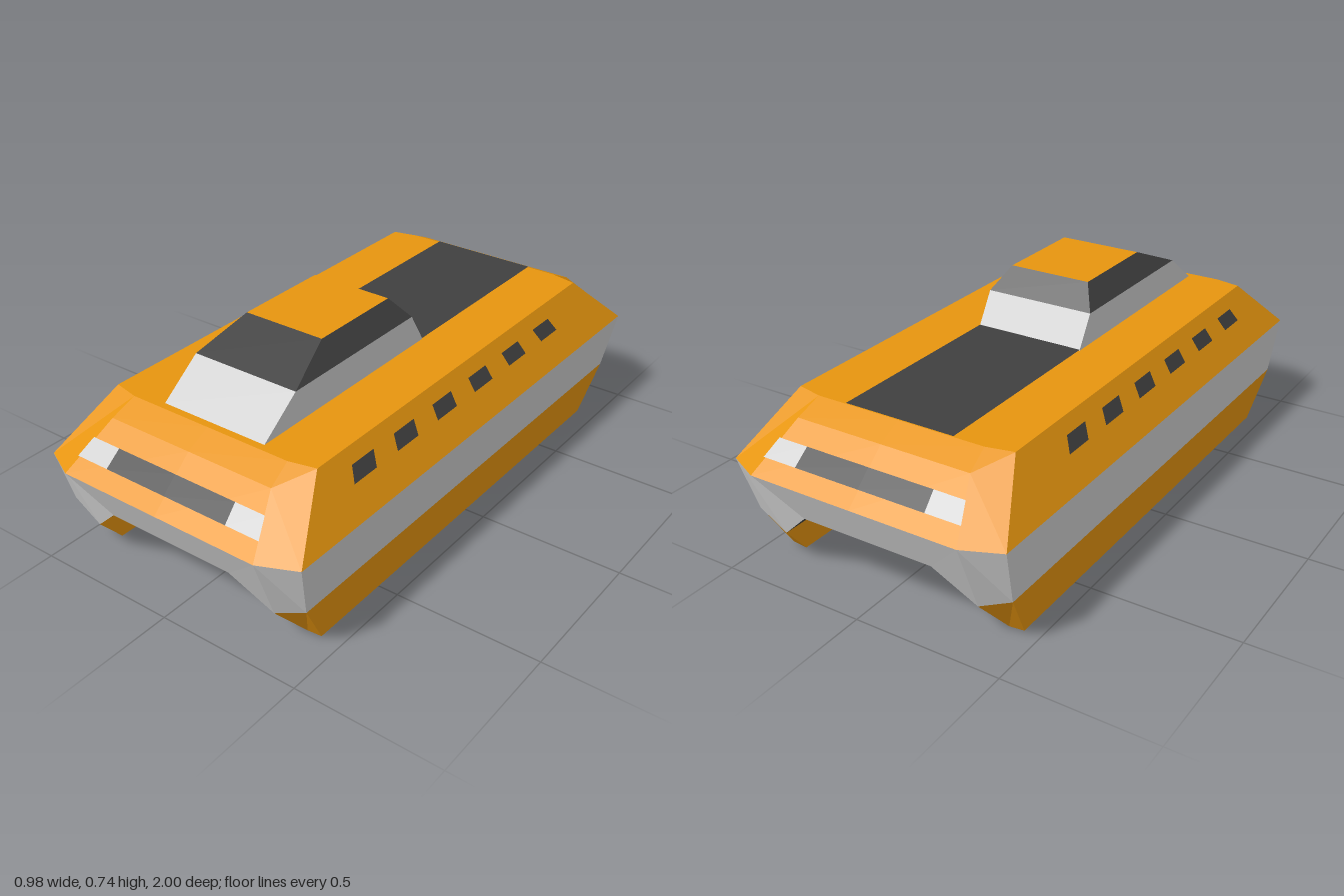
import * as THREE from 'three';

const ORANGE = 0xe6950f, DARK = 0x404040, GREY = 0xcccccc;

// Flat-sided mesh from convex polygons, each fanned into triangles
function panels(name, color, polygons) {
  const pos = [];
  for (const p of polygons)
    for (let i = 1; i < p.length - 1; i++) pos.push(...p[0], ...p[i], ...p[i + 1]);
  const geo = new THREE.BufferGeometry();
  geo.setAttribute('position', new THREE.Float32BufferAttribute(pos, 3));
  geo.computeVertexNormals();
  const mesh = new THREE.Mesh(geo, new THREE.MeshStandardMaterial({ color, flatShading: true }));
  mesh.name = name;
  return mesh;
}

// Mirror polygons in one axis, keeping them facing outwards
const mirror = (polys, axis) => polys.concat(polys.map(p =>
  p.map(v => v.map((c, i) => (i === axis ? -c : c))).reverse()));
const fourWays = polys => mirror(mirror(polys, 0), 2);

// Lower hulls sit slightly off centre
const settle = polys => polys.map(p => p.map(([x, y, z]) => [y < 0.3 ? x - 0.007 : x, y, z]));

// Walls between two rings of corners, listed counter-clockwise seen from above
const walls = (lower, upper) => lower.map((p, i) => {
  const j = (i + 1) % lower.length;
  return [p, lower[j], upper[j], upper[i]];
});

export function createModel() {
  const model = new THREE.Group();
  const add = (...args) => model.add(panels(...args));

  // Corner points of one quarter of the boat (+x, +z)
  const roof = [0.39, 0.55, 0.74], roofEnd = [0.30, 0.55, 0.76], brow = [0.31, 0.51, 0.845];
  const nose = [0.37, 0.37, 1], gunwale = [0.49, 0.365, 0.94], belt = [0.468, 0.175, 0.89];
  const keelOut = [0.44, 0.005, 0.79], keelIn = [0.388, 0, 0.79];
  const haunch = [0.357, 0.125, 0.90], tunnel = [0.232, 0.24, 0.945];
  const mid = ([, y, z]) => [0, y, z];
  const amid = ([x, y]) => [x, y, 0];
  const strip = (a, b) => [a, b, amid(b), amid(a)];
  const quarter = (name, color, polys) => add(name, color, settle(fourWays(polys)));

  // Upper deckhouse: roof, sloping sides, corners and raked ends
  quarter('upperBody', ORANGE, [
    [mid(roofEnd), roofEnd, roof, amid(roof), [0, 0.55, 0]],
    strip(roof, gunwale),
    [brow, nose, gunwale, roof, roofEnd],
    [mid(brow), brow, roofEnd, mid(roofEnd)],
    [mid(nose), nose, brow, mid(brow)],
  ]);

  // Grey band along the sides and across both ends
  quarter('hullBand', GREY, [
    strip(gunwale, belt),
    [mid(nose), mid(tunnel), tunnel, nose],
    [nose, tunnel, haunch, belt, gunwale],
  ]);

  // Twin hulls
  quarter('twinHulls', ORANGE, [
    strip(belt, keelOut), strip(keelOut, keelIn), strip(keelIn, haunch),
    [belt, haunch, keelIn, keelOut],
  ]);

  // Dark tunnel between the hulls
  quarter('tunnel', DARK, [strip(haunch, tunnel), strip(tunnel, mid(tunnel))]);

  // End windscreens with a light on either side, lying on the raked faces
  const rake = (x, y) => [x, y + 0.003, 1.003 - (y - 0.37) * 1.107];
  const [y0, y1] = [0.413, 0.46];
  add('endWindows', DARK, fourWays([[rake(0, y0), rake(0.233, y0), rake(0.228, y1), rake(0, y1)]]));
  add('endLights', GREY, fourWays(
    [[rake(0.233, y0), rake(0.355, y0), rake(0.335, y1), rake(0.228, y1)]]));

  // Six windows on each sloping side
  const windows = [];
  for (let i = 0; i < 6; i++) {
    const low = 0.638 - i * 0.2135, high = 0.617 - i * 0.205;
    windows.push([[0.442, 0.462, low], [0.442, 0.462, low - 0.107],
      [0.417, 0.507, high - 0.104], [0.417, 0.507, high]]);
  }
  add('sideWindows', DARK, mirror(windows, 0));

  // Dark strip on the roof behind the cabin
  add('roofStrip', DARK, mirror([[[0, 0.553, -0.05], [0.195, 0.553, -0.05],
    [0.195, 0.553, -0.76], [0, 0.553, -0.76]]], 0));

  // Cabin in three levels: base, window band, roof
  const ring = (x, y, front, back) => [[-x, y, front], [x, y, front], [x, y, back], [-x, y, back]];
  const base = ring(0.195, 0.55, 0.735, -0.065);
  const sill = ring(0.195, 0.657, 0.59, 0);
  const top = ring(0.147, 0.735, 0.405, 0.065);
  add('cabinBase', GREY, walls(base, sill));
  add('cabinWindows', DARK, walls(sill, top));
  add('cabinRoof', ORANGE, [top]);

  return model;
}
